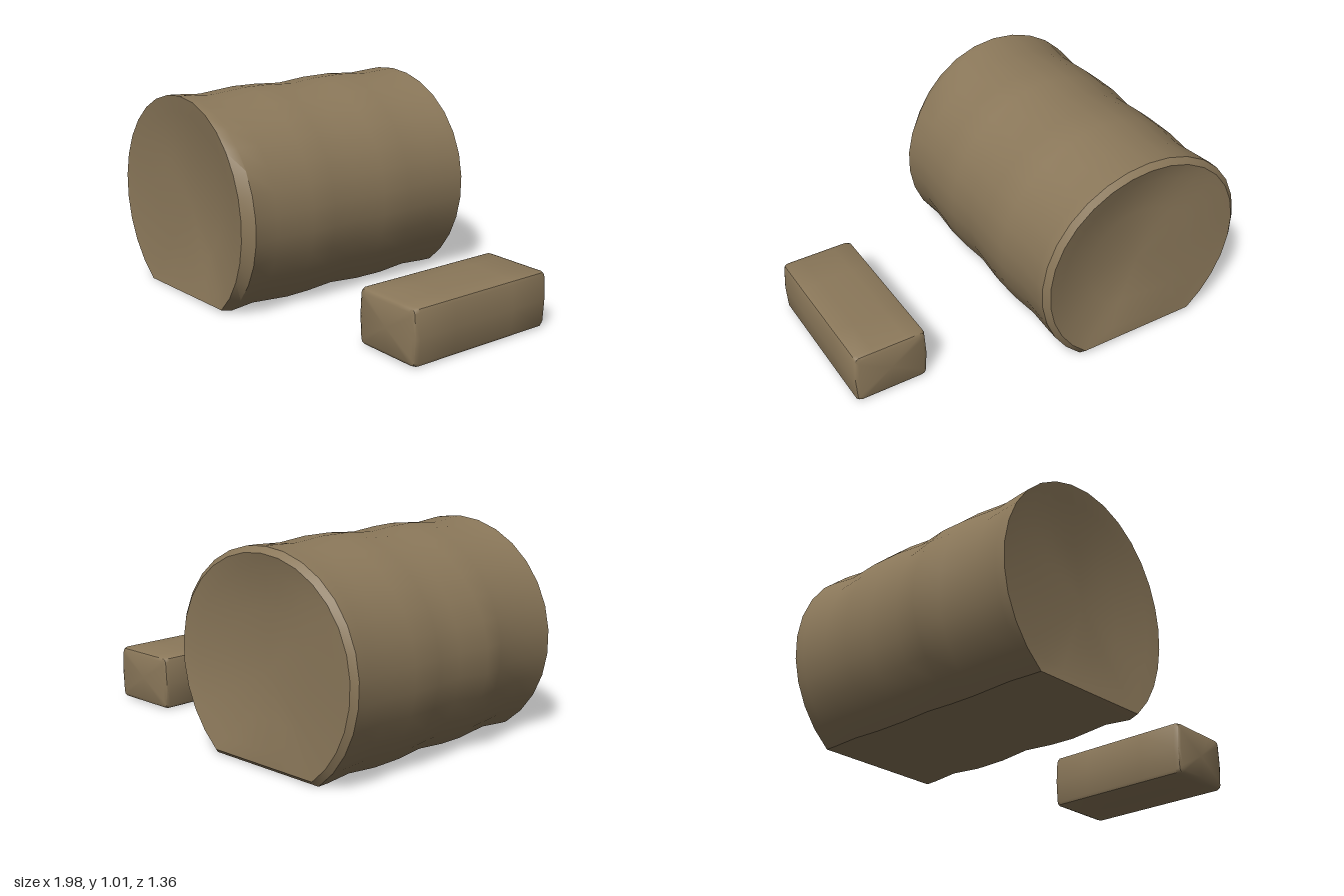
import * as THREE from 'three';
import { toCreasedNormals } from 'three/addons/utils/BufferGeometryUtils.js';

const lerp = THREE.MathUtils.lerp;

// Closed skin over equal-length rings ordered back to front, counterclockwise seen from +z
function loft(rings, backCentre, frontCentre, crease) {
  const n = rings[0].length, last = rings.length - 1;
  const points = [...rings.flat(), backCentre, frontCentre];
  const index = [], back = points.length - 2, front = points.length - 1;
  for (let j = 0; j < n; j++) {
    const k = (j + 1) % n;
    for (let i = 0; i < last; i++) {
      const a = i * n + j, b = i * n + k;
      index.push(a, b, b + n, a, b + n, a + n);
    }
    index.push(back, k, j, front, last * n + j, last * n + k);
  }
  const geo = new THREE.BufferGeometry();
  geo.setAttribute('position', new THREE.Float32BufferAttribute(points.flat(), 3));
  geo.setIndex(index);
  return toCreasedNormals(geo, crease);
}

// Round bale: circle with a flattened underside, tied in at three grooves
function roundBale() {
  const cx = -0.41, cy = 0.465, arc = 24, flat = 5;
  const start = -Math.PI * 0.3, sweep = Math.PI * 1.6;

  const ring = (z, r, scale = 1, shape = () => 0, dish = () => 0) => {
    const outline = [];
    for (let j = 0; j <= arc; j++) {
      const a = start + sweep * j / arc;
      const rr = r + shape(a);
      outline.push([cx + rr * Math.cos(a), cy + rr * Math.sin(a)]);
    }
    const p = outline[arc], q = outline[0];
    for (let j = 1; j < flat; j++) {
      outline.push([lerp(p[0], q[0], j / flat), lerp(p[1], q[1], j / flat)]);
    }
    return outline.map(([x, y]) => {
      const px = cx + (x - cx) * scale, py = cy + (y - cy) * scale;
      return [px, py, z + dish(px - cx, py - cy)];
    });
  };

  const rightDent = (a) => -0.05 * Math.max(0, Math.cos(a)) ** 2;
  const leftBump = (a) => 0.03 * Math.max(0, -Math.cos(a)) ** 6;
  const backWave = (a) => 0.006 * Math.sin(3 * a);
  const ripple = (x, y) => 0.02 * Math.sin(5 * x + 3 * y);

  return loft([
    ring(-0.645, 0.55, 0.5, backWave, ripple),
    ring(-0.668, 0.55, 0.82, backWave, (x, y) => ripple(x, y) * 0.5),
    ring(-0.68, 0.55, 0.96, backWave),
    ring(-0.655, 0.556, 1, backWave),
    ring(-0.6, 0.555, 1, backWave),
    ring(-0.46, 0.543),
    ring(-0.3, 0.556),
    ring(-0.14, 0.555),
    ring(0.02, 0.542),
    ring(0.17, 0.553, 1, leftBump),
    ring(0.3, 0.556),
    ring(0.5, 0.541),
    ring(0.63, 0.553),
    ring(0.68, 0.556, 1, rightDent),
    ring(0.667, 0.556, 0.85, rightDent),
    ring(0.64, 0.556, 0.5, rightDent, (x, y) => -ripple(x, y) * 0.5),
  ], [cx, cy, -0.635], [cx, cy, 0.635], 0.6);
}

// Small rectangular bale: soft-edged block with a slight crown on top
function squareBale() {
  const cx = 0.8, cy = 0.153, hx = 0.185, hy = 0.136;
  const ring = (z, inset, crown = 0) => {
    const w = hx - inset, h = hy - inset, b = 0.02;
    const half = [
      [w - b, -h], [w - b * 0.3, -h + b * 0.3], [w, -h + b], [w + 0.007, 0],
      [w, h - b], [w - b * 0.3, h - b * 0.3], [w - b, h], [w * 0.45, h + crown * 0.5],
    ];
    const mirrored = half.map(([x, y]) => [-x, y]).reverse();
    return [...half, [-0.02, h + crown], ...mirrored, [0, -h]]
      .map(([x, y]) => [cx + x, cy + y, z]);
  };
  return loft([
    ring(-0.4, 0.022), ring(-0.393, 0.007), ring(-0.375, 0),
    ring(-0.18, 0, 0.004), ring(0.17, 0, 0.01),
    ring(0.38, 0), ring(0.4, 0.007), ring(0.408, 0.022),
  ], [cx, cy, -0.4], [cx, cy, 0.412], 0.75);
}

export function createModel() {
  const straw = new THREE.MeshStandardMaterial({ color: 0x8b785a });
  straw.name = 'straw';
  const group = new THREE.Group();
  group.name = 'hayBales';
  for (const [name, geo] of [['roundBale', roundBale()], ['squareBale', squareBale()]]) {
    const mesh = new THREE.Mesh(geo, straw);
    mesh.name = name;
    group.add(mesh);
  }
  return group;
}
